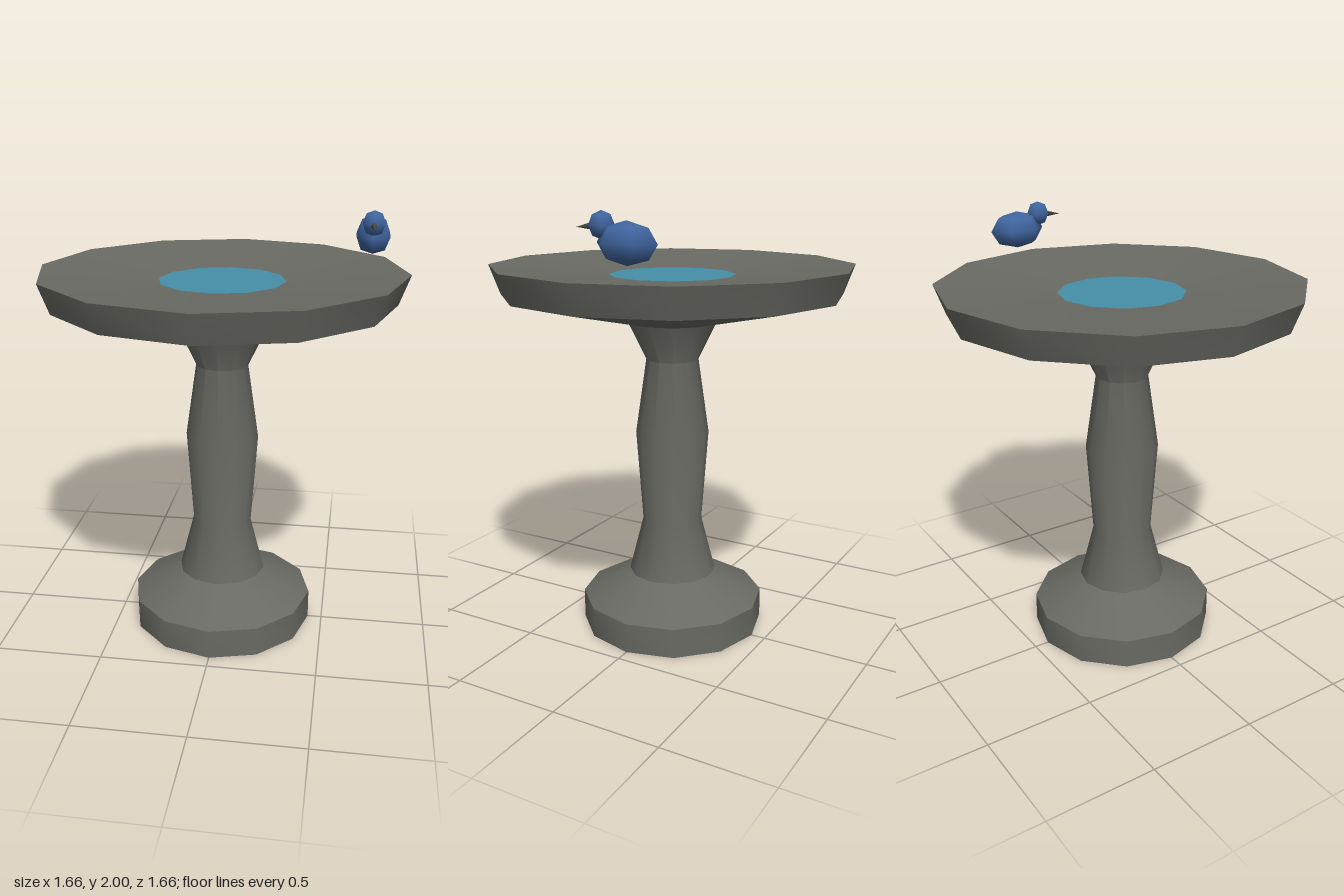
import * as THREE from 'three';
import { toCreasedNormals } from 'three/addons/utils/BufferGeometryUtils.js';

const SIDES = 12;

export function createModel() {
  const stone = new THREE.MeshStandardMaterial({ name: 'stone', color: 0x6a6a64, side: THREE.DoubleSide });
  const water = new THREE.MeshStandardMaterial({ name: 'water', color: 0x4590a8 });
  const feathers = new THREE.MeshStandardMaterial({ name: 'feathers', color: 0x40659f });
  const horn = new THREE.MeshStandardMaterial({ name: 'horn', color: 0x4c4842 });

  const model = new THREE.Group();
  model.name = 'birdBath';

  const add = (parent, name, geometry, material, x = 0, y = 0, z = 0) => {
    const mesh = new THREE.Mesh(geometry, material);
    mesh.name = name;
    mesh.position.set(x, y, z);
    parent.add(mesh);
    return mesh;
  };

  // Twelve-sided turned stone: smooth around, sharp at the profile's hard corners
  const turned = (profile) => toCreasedNormals(
    new THREE.LatheGeometry(profile.map(([r, y]) => new THREE.Vector2(r, y)), SIDES),
    THREE.MathUtils.degToRad(40)
  );

  // Hollow base, open underneath
  add(model, 'base', turned([[0.433, 0], [0.433, 0.14], [0.206, 0.26]]), stone);
  // Column
  add(model, 'column', turned([[0.206, 0.26], [0.14, 0.52], [0.171, 0.95], [0.121, 1.3], [0.206, 1.475]]), stone);
  // Basin: underside, flared rim and shallow bowl
  add(model, 'basin', turned([[0.206, 1.475], [0.78, 1.6], [0.83, 1.735], [0.288, 1.69]]), stone);
  // Water surface
  add(model, 'water', new THREE.CircleGeometry(0.288, SIDES).rotateX(-Math.PI / 2), water, 0, 1.69, 0);

  // Small bird facing the front
  const bird = new THREE.Group();
  bird.name = 'bird';
  bird.position.set(0.657, 1.878, -0.17);
  model.add(bird);

  const ball = (rx, ry, rz) => new THREE.SphereGeometry(1, 6, 4).rotateY(Math.PI / 2).scale(rx, ry, rz);
  add(bird, 'body', ball(0.086, 0.086, 0.137), feathers);
  add(bird, 'head', ball(0.057, 0.056, 0.057), feathers, 0, 0.066, 0.114);
  const beak = add(bird, 'beak', new THREE.ConeGeometry(0.019, 0.09, 5).rotateX(Math.PI / 2), horn, 0, 0.059, 0.188);
  beak.rotation.x = 0.1;

  return model;
}
